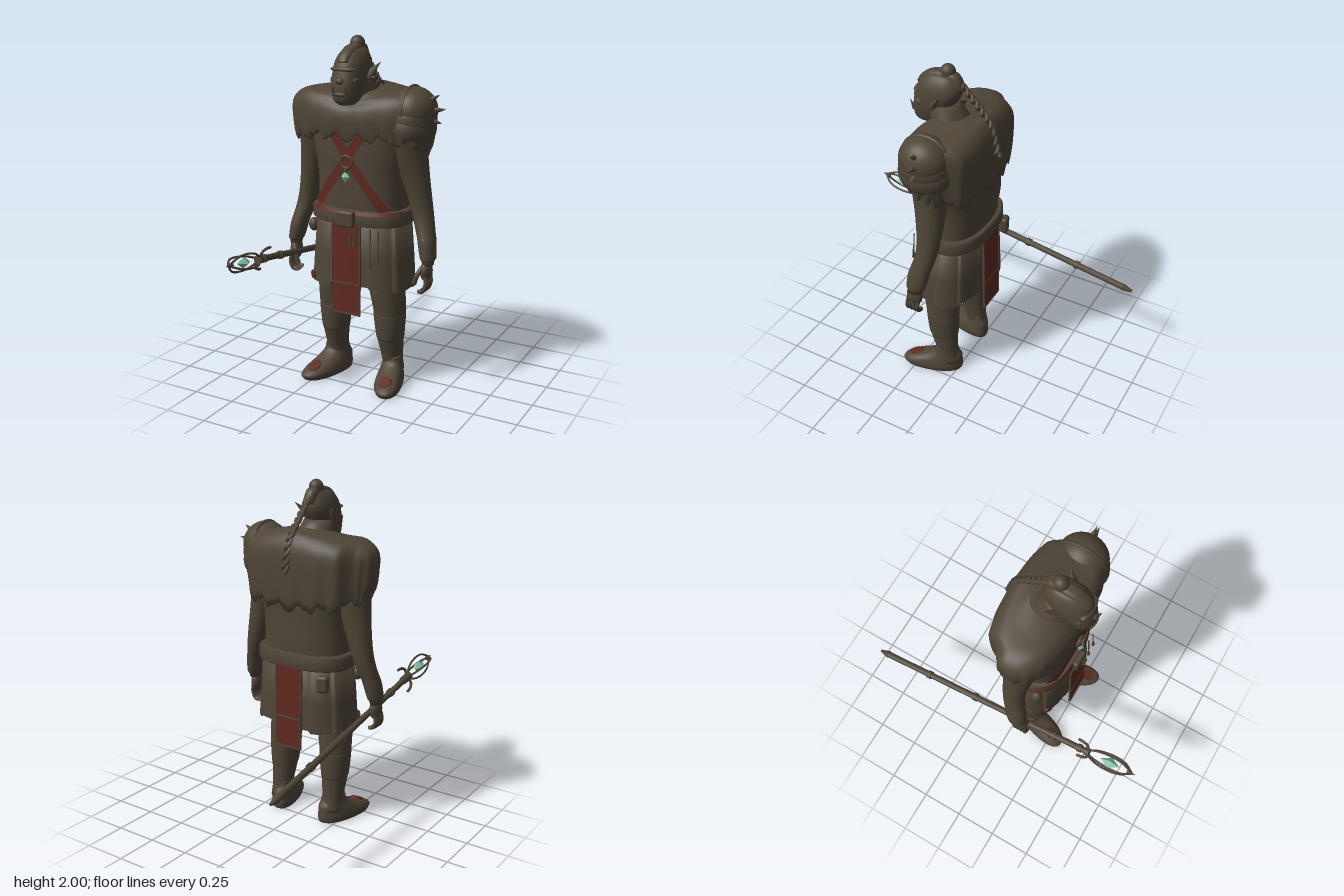
import * as THREE from 'three';
import { RoundedBoxGeometry } from 'three/addons/geometries/RoundedBoxGeometry.js';

const brown = new THREE.MeshStandardMaterial({ color: 0x4f4538, side: THREE.DoubleSide });
brown.name = 'dark hide';
const red = new THREE.MeshStandardMaterial({ color: 0x5f2a20, side: THREE.DoubleSide });
red.name = 'oxblood cloth';
const green = new THREE.MeshStandardMaterial({ color: 0x86c8a6 });
green.name = 'pale green crystal';

const V = (x, y, z) => new THREE.Vector3(x, y, z);

function add(parent, name, geo, mat = brown, pos = [0, 0, 0], scale = [1, 1, 1], rot = [0, 0, 0]) {
  const m = new THREE.Mesh(geo, mat);
  m.name = name;
  m.position.set(...pos);
  m.scale.set(...scale);
  m.rotation.set(...rot);
  parent.add(m);
  return m;
}

const ball = (parent, name, pos, scale) =>
  add(parent, name, new THREE.SphereGeometry(1, 20, 14), brown, pos, scale);

// Tapered rod from a to b
function rod(parent, name, a, b, ra, rb, sides = 12) {
  const d = b.clone().sub(a);
  const m = add(parent, name, new THREE.CylinderGeometry(rb, ra, d.length(), sides));
  m.position.copy(a).addScaledVector(d, 0.5);
  m.quaternion.setFromUnitVectors(V(0, 1, 0), d.normalize());
  return m;
}

const tube = (parent, name, pts, r, seg = 16) =>
  add(parent, name, new THREE.TubeGeometry(new THREE.CatmullRomCurve3(pts), seg, r, 8));

// Skin over stacked superellipses; rows are [y, cx, cz, rx, rz]
function loft(rows, { n = 32, pow = 2, sub = 4, caps = true, warp } = {}) {
  const centre = new THREE.CatmullRomCurve3(rows.map(r => V(r[1], r[0], r[2])), false, 'catmullrom');
  const radius = new THREE.CatmullRomCurve3(rows.map(r => V(r[3], 0, r[4])), false, 'catmullrom');
  const count = (rows.length - 1) * sub, pos = [], idx = [];
  const se = v => Math.sign(v) * Math.abs(v) ** (2 / pow);
  for (let j = 0; j <= count; j++) {
    const c = centre.getPoint(j / count), r = radius.getPoint(j / count);
    for (let i = 0; i < n; i++) {
      const a = i / n * Math.PI * 2;
      const p = V(c.x + r.x * se(Math.cos(a)), c.y, c.z + r.z * se(Math.sin(a)));
      if (warp) warp(p, a, j / sub);
      pos.push(p.x, p.y, p.z);
      if (j < count) {
        const k = j * n, i2 = (i + 1) % n;
        idx.push(k + i, k + n + i, k + i2, k + i2, k + n + i, k + n + i2);
      }
    }
  }
  if (caps) for (const j of [0, count]) {
    const c = centre.getPoint(j / count), v = pos.length / 3;
    pos.push(c.x, c.y, c.z);
    for (let i = 0; i < n; i++) {
      const p = j * n + i, q = j * n + (i + 1) % n;
      idx.push(v, ...(j ? [q, p] : [p, q]));
    }
  }
  const g = new THREE.BufferGeometry();
  g.setAttribute('position', new THREE.Float32BufferAttribute(pos, 3));
  g.setIndex(idx);
  g.computeVertexNormals();
  return g;
}

// Strap lying diagonally on the chest
function strap(parent, name, side, width, lift, mat) {
  const pos = [], idx = [], N = 20;
  for (let i = 0; i <= N; i++) for (const e of [-1, 1]) {
    const t = i / N, x = side * (0.11 - 0.32 * t) + side * e * width * 0.41, y = 1.51 - 0.45 * t - e * width * 0.29;
    pos.push(x, y, 0.075 + 0.185 * (1 - Math.abs(x / 0.275) ** 2.5) ** 0.4 + lift);
  }
  for (let i = 0; i < N; i++) { const k = i * 2; idx.push(k, k + 1, k + 2, k + 1, k + 3, k + 2); }
  const g = new THREE.BufferGeometry();
  g.setAttribute('position', new THREE.Float32BufferAttribute(pos, 3));
  g.setIndex(side > 0 ? idx.reverse() : idx);
  g.computeVertexNormals();
  add(parent, name, g, mat);
}

function buildHead(g) {
  add(g, 'neck', loft([[1.52, 0, 0.08, 0.15, 0.12], [1.66, 0, 0.12, 0.12, 0.11], [1.78, 0, 0.18, 0.08, 0.09]]));
  add(g, 'head', loft([[1.645, 0, 0.265, 0.04, 0.05], [1.67, 0, 0.262, 0.067, 0.08], [1.72, 0, 0.245, 0.08, 0.105],
    [1.77, 0, 0.225, 0.088, 0.12], [1.83, 0, 0.2, 0.09, 0.13], [1.88, 0, 0.19, 0.08, 0.12],
    [1.925, 0, 0.18, 0.056, 0.085], [1.945, 0, 0.17, 0.025, 0.035]], { pow: 2.3 }));
  ball(g, 'brow', [0, 1.835, 0.305], [0.075, 0.016, 0.03]);
  ball(g, 'nose', [0, 1.775, 0.335], [0.025, 0.02, 0.022]);
  ball(g, 'lowerLip', [0, 1.706, 0.335], [0.045, 0.014, 0.022]);
  for (const s of [-1, 1]) {
    ball(g, 'eye', [s * 0.037, 1.808, 0.313], [0.013, 0.008, 0.01]);
    ball(g, 'cheek', [s * 0.055, 1.775, 0.28], [0.032, 0.026, 0.035]);
    rod(g, 'tusk', V(s * 0.035, 1.7, 0.34), V(s * 0.04, 1.755, 0.36), 0.011, 0.001);
    const ear = rod(g, 'ear', V(s * 0.075, 1.785, 0.19), V(s * 0.132, 1.862, 0.13), 0.034, 0.001);
    ear.scale.z = 0.6;
  }
  add(g, 'hairCrest', loft([[1.87, 0, 0.19, 0.046, 0.137], [1.91, 0, 0.18, 0.043, 0.122], [1.945, 0, 0.165, 0.036, 0.085],
    [1.96, 0, 0.15, 0.02, 0.04]], { pow: 3 }));
  ball(g, 'topknot', [0, 1.958, 0.145], [0.04, 0.042, 0.042]);
  // Two strands twisted around one another
  const path = new THREE.CatmullRomCurve3([V(0, 1.95, 0.11), V(0, 1.83, 0), V(0, 1.71, -0.105), V(0, 1.53, -0.158)]);
  for (const s of [0, Math.PI]) {
    const pts = Array.from({ length: 49 }, (_, i) => {
      const a = i * 0.75 + s;
      return path.getPoint(i / 48).add(V(Math.cos(a) * 0.013, Math.sin(a) * 0.006, Math.sin(a) * 0.009));
    });
    tube(g, 'braid', pts, 0.012, 120);
  }
}

function buildTorso(g) {
  add(g, 'torso', loft([[0.98, 0, 0.075, 0.27, 0.17], [1.1, 0, 0.075, 0.262, 0.178], [1.25, 0, 0.075, 0.265, 0.18],
    [1.4, 0, 0.075, 0.295, 0.183], [1.55, 0, 0.08, 0.32, 0.165], [1.66, 0, 0.08, 0.22, 0.12]], { pow: 2.5, n: 48 }));
  for (const s of [-1, 1]) {
    strap(g, 'strapEdge', s, 0.068, 0.005, brown);
    strap(g, 'strap', s, 0.054, 0.01, red);
  }
  add(g, 'chestRing', new THREE.TorusGeometry(0.034, 0.008, 8, 28), brown, [0, 1.33, 0.279]);
  rod(g, 'pendantCord', V(0, 1.3, 0.28), V(0, 1.265, 0.285), 0.008, 0.008);
  add(g, 'pendantGem', new THREE.OctahedronGeometry(1), green, [0, 1.25, 0.288], [0.026, 0.033, 0.018]);
  // Fur mantle with a ragged hem, longer behind, raised at the nape and stepped in behind the shoulders
  const hem = a => {
    const s = Math.sin(a);
    return (s > 0 ? 0.06 * s : 0.08 * s) - 0.05 * Math.abs(Math.sin(a * 9 + Math.sin(a * 4))) - 0.025 * Math.abs(Math.sin(a * 21));
  };
  add(g, 'furMantle', loft([[1.52, 0, 0.08, 0.3, 0.16], [1.45, 0, 0.075, 0.395, 0.2], [1.55, 0, 0.075, 0.425, 0.215],
    [1.64, 0, 0.075, 0.42, 0.205], [1.695, 0, 0.085, 0.35, 0.17], [1.715, 0, 0.1, 0.23, 0.135], [1.735, 0, 0.105, 0.125, 0.105]],
  { n: 144, pow: 2.5, caps: false, warp(p, a, j) {
    if (j < 2) p.y += hem(a) * (1 - Math.abs(j - 1));
    const tilt = (p.z > 0.08 ? 0.35 : 0.25) * Math.max(0, 1 - Math.abs(p.x) / 0.3);
    if (j > 2) p.y -= tilt * (p.z - 0.08) * Math.min(1, (j - 2) / 2);
    const k = 1 + 0.012 * Math.sin(a * 19) * Math.max(0, 1 - Math.abs(j - 1.5) / 2);
    p.x *= k;
    p.z = 0.08 + (p.z - 0.08) * k;
    if (p.z < 0.08) p.z += (0.08 - p.z) * 0.35 * THREE.MathUtils.smoothstep(Math.abs(p.x), 0.29, 0.36);
  } }));
}

function buildArm(g, s) {
  const side = s > 0 ? 'left' : 'right';
  const rows = [[0.77, 0.428, 0.13, 0.03, 0.042], [0.88, 0.415, 0.115, 0.046, 0.06], [1.0, 0.38, 0.085, 0.057, 0.062],
    [1.1, 0.355, 0.075, 0.064, 0.067], [1.25, 0.32, 0.08, 0.08, 0.083], [1.4, 0.29, 0.09, 0.1, 0.105],
    [1.55, 0.295, 0.1, 0.11, 0.12], [1.64, 0.28, 0.1, 0.07, 0.08]];
  add(g, side + 'Arm', loft(rows.map(r => [r[0], s * r[1], ...r.slice(2)])));
  add(g, side + 'Bracer', loft([[0.795, s * 0.427, 0.127, 0.036, 0.05], [0.815, s * 0.425, 0.124, 0.044, 0.058],
    [0.9, s * 0.41, 0.11, 0.05, 0.063], [0.95, s * 0.396, 0.097, 0.05, 0.058]]));
  ball(g, side + 'Palm', [s * 0.422, 0.735, 0.138], [0.032, 0.06, 0.05]);
  for (let i = 0; i < 4; i++) {
    const z = 0.108 + i * 0.022;
    tube(g, side + 'Finger', [V(s * 0.432, 0.71, z), V(s * 0.438, 0.665, z + 0.006), V(s * 0.42, 0.628, z + 0.008),
      V(s * 0.395, 0.61 + Math.abs(i - 1.5) * 0.008, z + 0.006)], 0.0125);
  }
  tube(g, side + 'Thumb', [V(s * 0.41, 0.76, 0.17), V(s * 0.39, 0.715, 0.195), V(s * 0.375, 0.67, 0.195)], 0.014);
}

function buildLeg(g, s) {
  const side = s > 0 ? 'left' : 'right';
  const rows = [[0.07, 0.185, 0.06, 0.06, 0.07], [0.15, 0.183, 0.072, 0.061, 0.067], [0.3, 0.18, 0.095, 0.077, 0.09],
    [0.45, 0.178, 0.1, 0.092, 0.1], [0.6, 0.165, 0.11, 0.103, 0.11], [0.8, 0.15, 0.1, 0.115, 0.12]];
  add(g, side + 'Leg', loft(rows.map(r => [r[0], s * r[1], ...r.slice(2)])));
  add(g, side + 'LegWrap', loft([[0.28, s * 0.18, 0.092, 0.076, 0.088], [0.3, s * 0.18, 0.095, 0.08, 0.093],
    [0.42, s * 0.178, 0.099, 0.092, 0.1], [0.44, s * 0.178, 0.1, 0.089, 0.097]]));
  // Shoe with toes turned out
  add(g, side + 'Shoe', loft([[0, s * 0.185, 0.155, 0.076, 0.17], [0.03, s * 0.185, 0.16, 0.082, 0.18],
    [0.06, s * 0.185, 0.14, 0.077, 0.157], [0.095, s * 0.185, 0.095, 0.067, 0.11], [0.13, s * 0.185, 0.075, 0.059, 0.07],
    [0.17, s * 0.185, 0.075, 0.055, 0.06]],
  { pow: 2.3, warp: p => { p.x += s * 0.25 * (p.z - 0.07); p.y = Math.max(0, p.y); } }));
  add(g, side + 'ToePatch', new THREE.CylinderGeometry(0.034, 0.038, 0.009, 8), red, [s * 0.234, 0.071, 0.265], [1, 1, 1.35], [0.4, 0, 0]);
}

function buildSkirt(g) {
  // Overlapping leather panels made by a stepped radius
  add(g, 'skirt', loft([[0.82, 0, 0.08, 0.2, 0.12], [0.615, 0, 0.08, 0.285, 0.185], [0.61, 0, 0.08, 0.298, 0.192], [1.0, 0, 0.075, 0.27, 0.175]],
    { n: 120, pow: 2.6, sub: 2, warp(p, a, j) {
      const f = a * 10 / (Math.PI * 2), k = 1 + 0.045 * (f % 1);
      p.x *= k;
      p.z = 0.08 + (p.z - 0.08) * k;
      if (j >= 1 && j <= 2) p.y = Math.max(p.y, 0.61) + 0.013 * (Math.floor(f) % 3 - 1);
    } }));
  add(g, 'belt', loft([[0.97, 0, 0.075, 0.285, 0.19], [0.98, 0, 0.075, 0.297, 0.203], [1.045, 0, 0.075, 0.295, 0.202],
    [1.058, 0, 0.075, 0.28, 0.19]], { n: 64, pow: 2.6, sub: 1 }));
  // Trim shows along the front only and sinks into the belt behind
  add(g, 'beltTrim', loft([[1.038, 0, 0.075, 0.298, 0.205], [1.058, 0, 0.075, 0.287, 0.197]], { n: 64, pow: 2.6, sub: 1, caps: false,
    warp(p, a) { if (Math.sin(a) < 0.2) { p.x *= 0.93; p.z = 0.075 + (p.z - 0.075) * 0.93; p.y -= 0.015; } } }), red);
  add(g, 'buckle', new RoundedBoxGeometry(0.104, 0.092, 0.04, 3, 0.014), brown, [0, 1.013, 0.287]);
  // Long cloths before and behind
  for (const [name, z, low, tilt] of [['front', 0.288, 0.455, -0.02], ['back', -0.126, 0.49, 0.02]]) {
    const cloth = new THREE.Group(), h = 0.98 - low;
    cloth.name = name + 'Cloth';
    cloth.position.set(0, low + h / 2, z);
    cloth.rotation.x = tilt;
    g.add(cloth);
    add(cloth, 'clothPanel', new THREE.BoxGeometry(0.172, h, 0.009), red);
    for (const s of [-1, 1]) add(cloth, 'clothHem', new THREE.BoxGeometry(0.006, h, 0.012), brown, [s * 0.087, 0, 0]);
    for (const y of [0.006, 0.185]) add(cloth, 'clothBand', new THREE.BoxGeometry(0.178, 0.01, 0.013), brown, [0, y - h / 2, 0]);
  }
  add(g, 'skirtPatch', new THREE.CylinderGeometry(0.026, 0.026, 0.009, 7), red, [-0.25, 0.632, 0.232], [1, 1, 1], [Math.PI / 2, 0, 0.6]);
  // Hanging charms and pouches
  for (const [x, low] of [[0.035, 0.9], [0.06, 0.9], [0.145, 0.77], [0.195, 0.82]]) {
    const z = x < 0.1 ? 0.302 : 0.283;
    rod(g, 'charmCord', V(x, 0.97, z - 0.01), V(x, low, z), 0.004, 0.004, 6);
    rod(g, 'charm', V(x, low - 0.025, z), V(x, low + 0.03, z), 0.01, 0.005, 8);
  }
  ball(g, 'sidePouch', [-0.277, 0.915, 0.17], [0.03, 0.04, 0.033]);
  add(g, 'backPouch', new RoundedBoxGeometry(0.07, 0.1, 0.05, 3, 0.018), brown, [-0.215, 0.91, -0.1], [1, 1, 1], [0, 0.3, 0]);
}

function buildPauldron(g) {
  const pad = new THREE.Group();
  pad.name = 'spikedPauldron';
  g.add(pad);
  const dome = new THREE.SphereGeometry(1, 32, 16, 0, Math.PI * 2, 0, Math.PI * 0.55);
  for (let i = 0; i < 3; i++)
    add(pad, 'pauldronPlate', dome, brown, [0.318 - i * 0.004, 1.612 - i * 0.045, 0.105], [0.128, 0.13, 0.142 + i * 0.007], [0, 0, -0.45]);
  add(pad, 'pauldronRim', new THREE.TorusGeometry(0.12, 0.011, 8, 32), brown, [0.31, 1.62, 0.105], [1.12, 1, 1], [0, Math.PI / 2, 0.25]);
  for (const [y, x0, tx, ty] of [[1.665, 0.4, 0.465, 1.705], [1.62, 0.42, 0.503, 1.632], [1.565, 0.415, 0.48, 1.555]])
    rod(pad, 'spike', V(x0, y, 0.1), V(tx, ty, 0.1), 0.024, 0.001);
}

function buildStaff(g) {
  const staff = new THREE.Group();
  staff.name = 'staff';
  staff.position.set(-0.401, 0.7, 0);
  staff.quaternion.setFromUnitVectors(V(0, 1, 0), V(0.0186, 0.175, 1).normalize());
  g.add(staff);
  rod(staff, 'shaft', V(0, -0.83, 0), V(0, 0.59, 0), 0.019, 0.018);
  rod(staff, 'buttTip', V(0, -0.82, 0), V(0, -0.878, 0), 0.022, 0.008);
  for (const y of [-0.51, -0.18, 0.36, 0.53, 0.58])
    add(staff, 'shaftRing', new THREE.CylinderGeometry(0.024, 0.024, 0.026, 16), brown, [0, y, 0]);
  for (let i = 0; i < 4; i++) {
    const a = i * Math.PI / 2 + 0.4, at = (r, y) => V(Math.cos(a) * r, y, Math.sin(a) * r);
    tube(staff, 'cageBar', [at(0.015, 0.58), at(0.044, 0.64), at(0.057, 0.72), at(0.046, 0.8), at(0.004, 0.86)], 0.006, 24);
    if (i % 2) tube(staff, 'headHorn', [at(0.015, 0.575), at(0.045, 0.58), at(0.065, 0.555), at(0.072, 0.515)], 0.008);
  }
  rod(staff, 'cageTip', V(0, 0.835, 0), V(0, 0.885, 0), 0.014, 0.001);
  add(staff, 'staffGem', new THREE.OctahedronGeometry(1), green, [0, 0.725, 0], [0.032, 0.06, 0.032]);
}

export function createModel() {
  const root = new THREE.Group();
  root.name = 'warrior';
  const body = new THREE.Group();
  body.name = 'body';
  body.position.x = -0.02;
  root.add(body);
  buildHead(body);
  buildTorso(body);
  buildSkirt(body);
  for (const s of [-1, 1]) { buildArm(body, s); buildLeg(body, s); }
  buildPauldron(body);
  buildStaff(body);
  return root;
}
